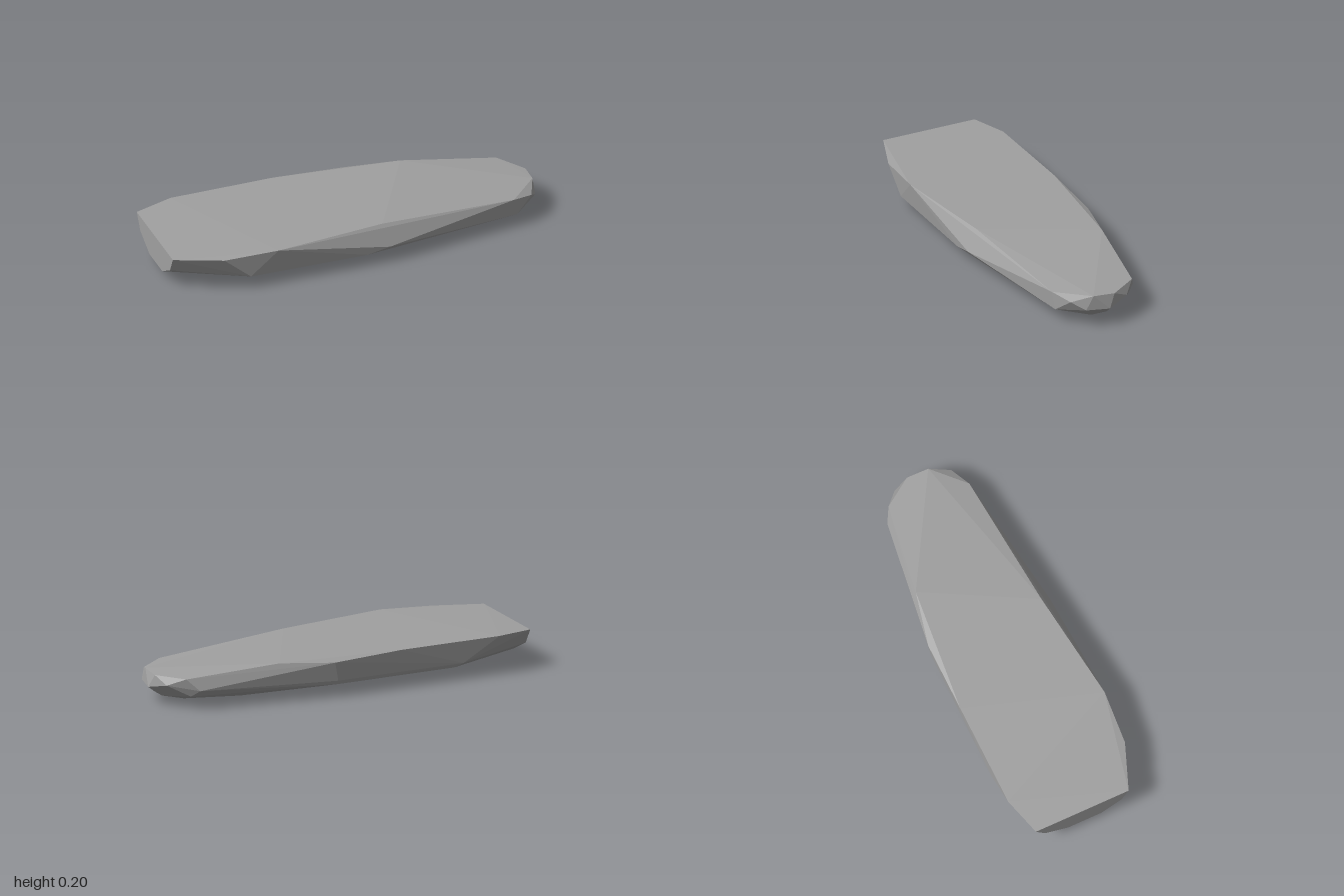
import * as THREE from 'three';
import { ConvexGeometry } from 'three/addons/geometries/ConvexGeometry.js';

// Faceted boat-like hull: the convex skin over a few level rings of [x, y, z] points.
export function createModel() {
  const group = new THREE.Group();
  group.name = 'hullModel';
  const grey = new THREE.MeshStandardMaterial({ color: 0xa0a0a0 });
  grey.name = 'plain grey';
  grey.flatShading = true;

  // edge of the deck, blunt stern at -x and tapered bow at +x
  const deck = [
    [-1, 0.19, 0.23], [-0.76, 0.188, 0.323], [-0.48, 0.2, 0.343], [0.1, 0.197, 0.27],
    [0.82, 0.155, 0.213], [0.975, 0.165, 0.06], [0.98, 0.158, -0.055], [0.88, 0.16, -0.203],
    [0.4, 0.2, -0.28], [-0.25, 0.2, -0.343], [-0.8, 0.198, -0.338], [-1, 0.19, -0.28],
  ];
  // widest part of the sides and the rounded nose
  const sides = [
    [0.12, 0.09, 0.325], [0.93, 0.135, 0.165], [0.975, 0.095, 0.1], [1, 0.09, -0.02],
    [0.955, 0.12, -0.135], [0.82, 0.1, -0.238], [0.12, 0.183, -0.343], [0.1, 0.085, -0.336],
    [-0.6, 0.085, -0.338],
  ];
  // chine, where the sides turn under
  const chine = [
    [-1, 0.11, 0.19], [-0.62, 0.07, 0.325], [0, 0.068, 0.325], [0.84, 0.065, 0.205],
    [0.93, 0.04, 0.05], [0.93, 0.04, -0.035], [0.85, 0.065, -0.195], [0.1, 0.065, -0.328],
    [-0.55, 0.065, -0.328], [-1, 0.11, -0.23],
  ];
  // flat bottom with raised ends
  const keel = [
    [-1, 0.045, 0.08], [-0.75, 0.003, 0.08], [0.52, 0, 0.08], [0.82, 0.017, 0.06],
    [0.82, 0.017, -0.06], [0.52, 0, -0.09], [-0.75, 0.003, -0.09], [-1, 0.045, -0.1],
  ];

  const points = [...deck, ...sides, ...chine, ...keel].map((p) => new THREE.Vector3(...p));
  const hull = new THREE.Mesh(new ConvexGeometry(points), grey);
  hull.name = 'hull';
  group.add(hull);
  return group;
}
